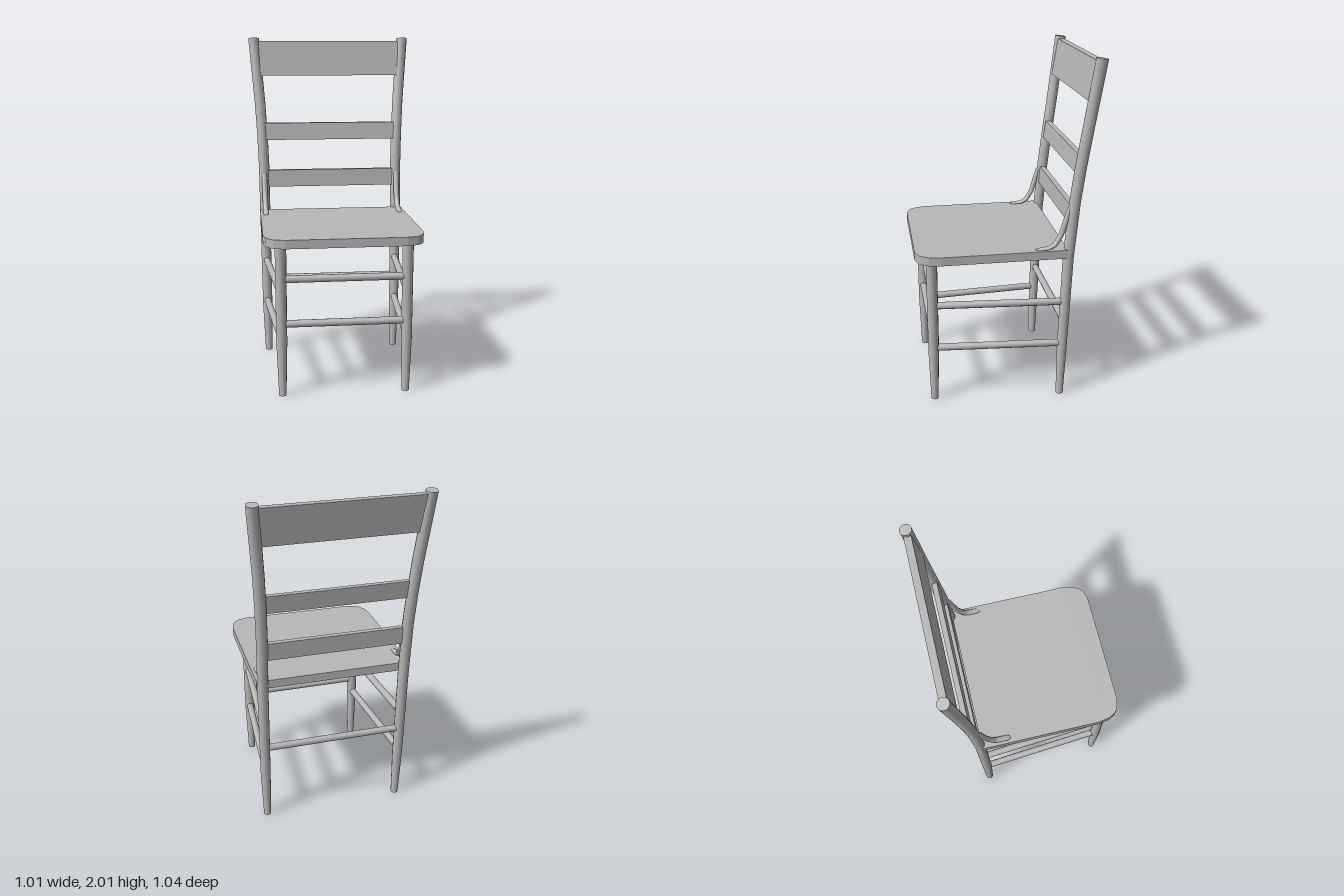
import * as THREE from 'three';

const grey = new THREE.MeshStandardMaterial({ color: 0xb8b8b8 });
grey.name = 'grey paint';

// Round bar through rings [x, y, z, radius across x, radius in the yz plane], with flat end caps
function sweep(rings, sides = 12) {
  const pos = [], idx = [];
  const across = new THREE.Vector3(1, 0, 0);
  const centres = rings.map(r => new THREE.Vector3(r[0], r[1], r[2]));
  const addRing = i => {
    const start = pos.length / 3;
    const tangent = centres[Math.min(i + 1, rings.length - 1)].clone().sub(centres[Math.max(i - 1, 0)]);
    const side = tangent.setX(0).normalize().cross(across);
    const [, , , ra, rb = ra] = rings[i];
    for (let k = 0; k < sides; k++) {
      const a = (k / sides) * Math.PI * 2;
      const p = centres[i].clone().addScaledVector(across, Math.cos(a) * ra).addScaledVector(side, Math.sin(a) * rb);
      pos.push(p.x, p.y, p.z);
    }
    return start;
  };
  rings.forEach((_, i) => addRing(i));
  for (let i = 0; i < rings.length - 1; i++) {
    for (let k = 0; k < sides; k++) {
      const a = i * sides + k, b = i * sides + (k + 1) % sides;
      idx.push(a, a + sides, b, b, a + sides, b + sides);
    }
  }
  const first = addRing(0), last = addRing(rings.length - 1);
  for (let k = 1; k < sides - 1; k++) {
    idx.push(first, first + k, first + k + 1, last, last + k + 1, last + k);
  }
  // Face order is chosen so the walls point outwards
  for (let i = 0; i < idx.length; i += 3) {
    const wall = i < (rings.length - 1) * sides * 6;
    const [a, b, c] = [idx[i], idx[i + 1], idx[i + 2]].map(n => new THREE.Vector3().fromArray(pos, n * 3));
    const normal = b.clone().sub(a).cross(c.clone().sub(a));
    let out;
    if (wall) {
      const row = Math.floor(i / (sides * 6));
      out = a.clone().add(b).add(c).divideScalar(3).sub(centres[row].clone().lerp(centres[row + 1], 0.5));
      const axis = centres[row + 1].clone().sub(centres[row]).normalize();
      out.addScaledVector(axis, -out.dot(axis));
    } else {
      const n = centres.length - 1;
      out = idx[i] === first ? centres[0].clone().sub(centres[1]) : centres[n].clone().sub(centres[n - 1]);
    }
    if (normal.dot(out) < 0) [idx[i + 1], idx[i + 2]] = [idx[i + 2], idx[i + 1]];
  }
  const g = new THREE.BufferGeometry();
  g.setAttribute('position', new THREE.Float32BufferAttribute(pos, 3));
  g.setIndex(idx);
  g.computeVertexNormals();
  return g;
}

export function createModel() {
  const chair = new THREE.Group();
  chair.name = 'chair';
  const add = (name, geometry) => {
    const m = new THREE.Mesh(geometry, grey);
    m.name = name;
    chair.add(m);
    return m;
  };

  // Seat board with clipped, rounded front corners
  const corner = [[0.453, -0.335], [0.453, 0.38], [0.441, 0.447], [0.42, 0.482], [0.4, 0.502], [0.34, 0.52]];
  const outline = [...corner, ...corner.map(([x, z]) => [-x, z]).reverse()];
  const shape = new THREE.Shape(outline.map(([x, z]) => new THREE.Vector2(x, -z)));
  const seat = new THREE.ExtrudeGeometry(shape, { depth: 0.05, bevelEnabled: false });
  seat.rotateX(-Math.PI / 2).translate(0, 0.88, 0);
  add('seat', seat);

  for (const s of [1, -1]) {
    const label = s > 0 ? 'left' : 'right';
    const bar = (name, rings, sides) =>
      add(label + name, sweep(rings.map(([x, ...rest]) => [s * x, ...rest]), sides));

    // Legs, the rear ones running up into the backrest
    bar('FrontLeg', [[0.355, 0, 0.428, 0.021], [0.357, 0.32, 0.428, 0.031], [0.358, 0.89, 0.428, 0.032]]);
    bar('BackPost', [
      [0.41, 0, -0.315, 0.022], [0.415, 0.3, -0.321, 0.03], [0.42, 0.88, -0.344, 0.032],
      [0.422, 1.2, -0.372, 0.033], [0.429, 1.4, -0.397, 0.033], [0.44, 1.6, -0.426, 0.033],
      [0.472, 2, -0.482, 0.034],
    ]);

    // Side stretchers
    for (const y of [0.335, 0.6]) {
      bar('SideStretcher', [[0.358, y, 0.42, 0.021], [0.415, y, -0.32, 0.021]], 10);
    }

    // Curved brace from seat to back post
    bar('SeatBrace', [
      [0.42, 0.93, -0.155, 0.002, 0.002], [0.42, 0.931, -0.172, 0.016, 0.008],
      [0.42, 0.936, -0.23, 0.017, 0.012], [0.42, 0.955, -0.265, 0.017, 0.014],
      [0.42, 1.01, -0.298, 0.017, 0.015], [0.421, 1.08, -0.32, 0.017, 0.016],
      [0.422, 1.15, -0.34, 0.016, 0.015], [0.422, 1.175, -0.348, 0.004, 0.004],
    ], 10);
  }

  // Cross stretchers: half length, height, depth
  for (const [name, half, y, z] of [
    ['frontStretcher', 0.355, 0.685, 0.428], ['frontStretcher', 0.355, 0.425, 0.428],
    ['backStretcher', 0.412, 0.48, -0.328],
  ]) {
    add(name, new THREE.CylinderGeometry(0.021, 0.021, half * 2, 10).rotateZ(Math.PI / 2).translate(0, y, z));
  }

  // Back slats leaning with the posts: half width, bottom, top, front z at bottom and top, thickness
  for (const [name, half, y0, y1, z0, z1, t] of [
    ['topSlat', 0.45, 1.77, 1.985, -0.423, -0.46, 0.04],
    ['middleSlat', 0.425, 1.37, 1.475, -0.37, -0.384, 0.03],
    ['lowerSlat', 0.418, 1.075, 1.18, -0.342, -0.35, 0.03],
  ]) {
    const g = new THREE.BoxGeometry(half * 2, y1 - y0, t).translate(0, (y0 + y1) / 2, -t / 2);
    const p = g.attributes.position;
    for (let i = 0; i < p.count; i++) {
      p.setZ(i, p.getZ(i) + z0 + (z1 - z0) * (p.getY(i) - y0) / (y1 - y0));
    }
    g.computeVertexNormals();
    add(name, g);
  }
  return chair;
}
